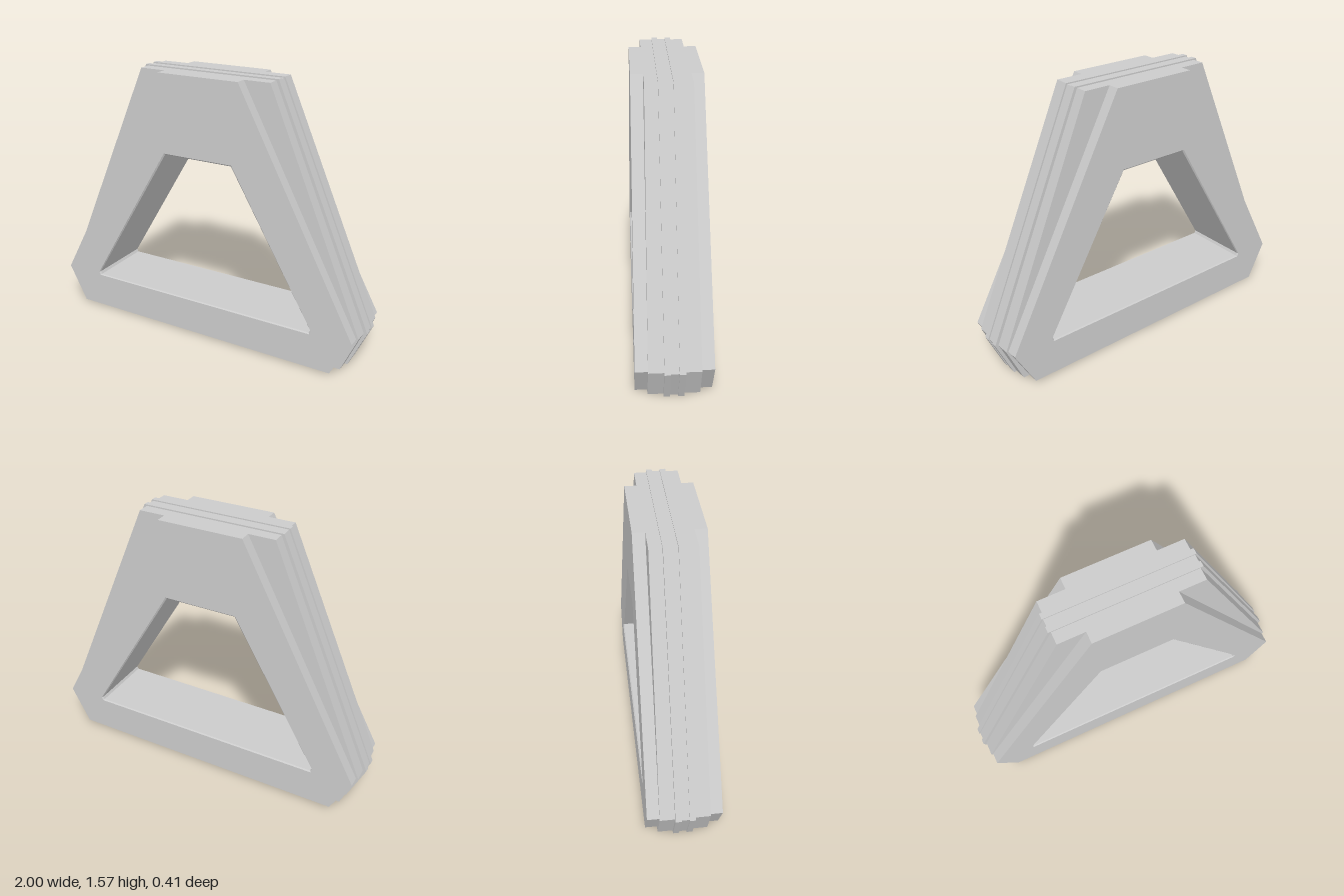
import * as THREE from 'three';

// Symmetric six-point outline, counter-clockwise seen from +z
function outline(bottom, waist, top) {
  const right = [bottom, waist, top];
  return [...right, ...right.slice().reverse().map(([x, y]) => [-x, y])];
}

// Stepped outer outlines and the window opening
const rim = outline([0.9, 0], [1, 0.225], [0.42, 1.57]);
const groove = outline([0.894, 0.007], [0.992, 0.225], [0.413, 1.563]);
const middle = outline([0.887, 0.01], [0.98, 0.225], [0.405, 1.562]);
const face = outline([0.85, 0.01], [0.967, 0.225], [0.25, 1.562]);
const windowEdge = outline([0.722, 0.217], [0.731, 0.236], [0.218, 1.104]);
const windowWall = outline([0.715, 0.223], [0.723, 0.24], [0.213, 1.097]);

// Half section from the outside centre round to the window: points, depth, taper per unit height
const half = [
  [groove, 0.022, 0],
  [rim, 0.022, 0],
  [rim, 0.055, 0],
  [middle, 0.055, 0],
  [middle, 0.14, 0.01],
  [face, 0.14, 0.01],
  [face, 0.207, 0.01],
  [windowEdge, 0.207, 0.01],
  [windowWall, 0.2, 0.01],
];

function frameGeometry() {
  // Mirror the half section to get a closed loop running from back to front
  const place = (side) => ([points, depth, taper]) =>
    points.map(([x, y]) => [x, y, side * (depth - taper * y)]);
  const rings = [...half.slice().reverse().map(place(-1)), ...half.map(place(1))];
  const positions = [];
  rings.forEach((ring, i) => {
    const next = rings[(i + 1) % rings.length];
    ring.forEach((a, j) => {
      const k = (j + 1) % ring.length;
      positions.push(...a, ...ring[k], ...next[k], ...a, ...next[k], ...next[j]);
    });
  });
  const geometry = new THREE.BufferGeometry();
  geometry.setAttribute('position', new THREE.Float32BufferAttribute(positions, 3));
  geometry.computeVertexNormals();
  return geometry;
}

export function createModel() {
  const group = new THREE.Group();
  const material = new THREE.MeshStandardMaterial({ color: 0xcccccc, flatShading: true });
  const frame = new THREE.Mesh(frameGeometry(), material);
  frame.name = 'steppedFrame';
  group.add(frame);
  return group;
}
